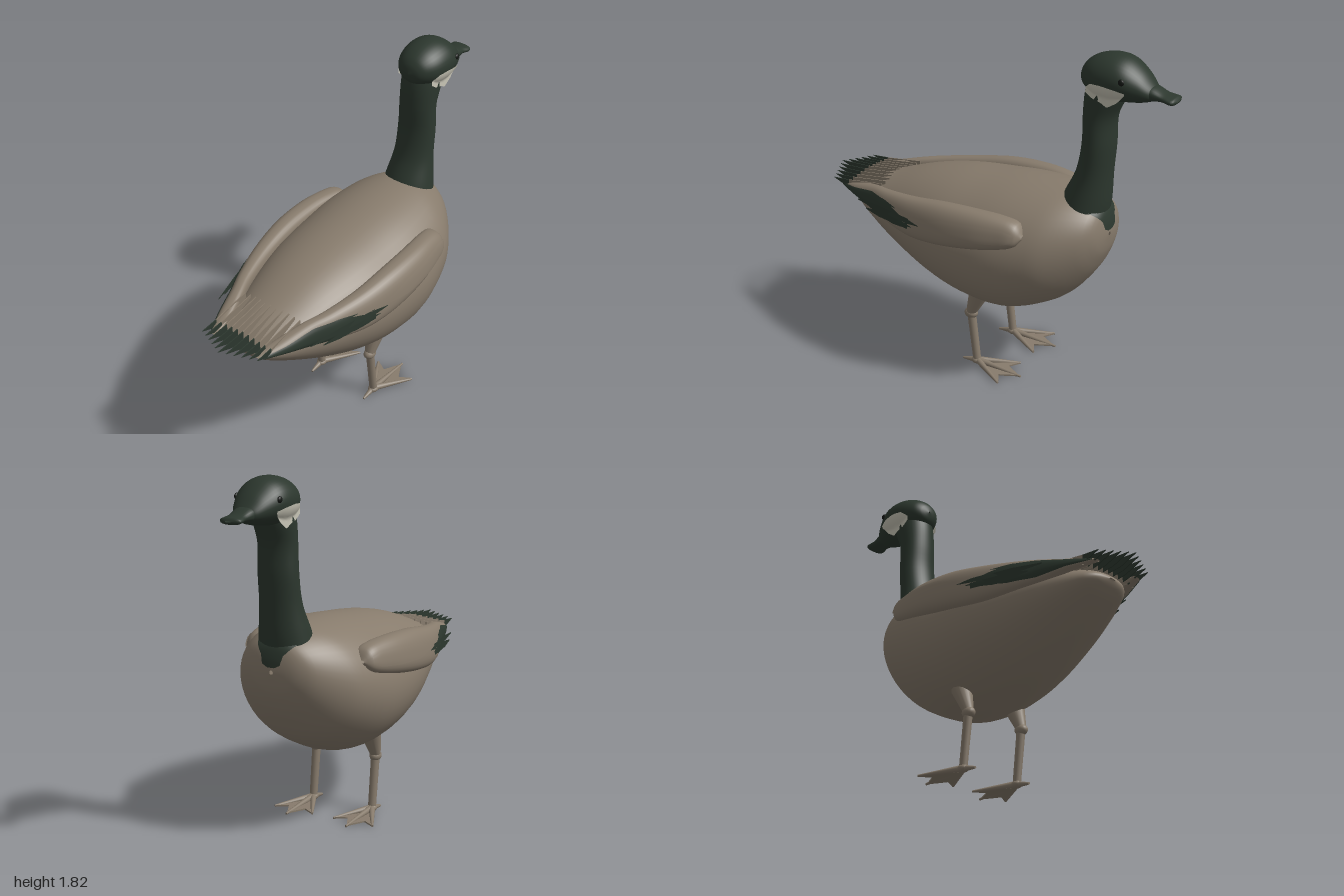
import * as THREE from 'three';

const mat = (name, color) => {
  const m = new THREE.MeshStandardMaterial({ color, side: THREE.DoubleSide });
  m.name = name;
  return m;
};

// Section tables along x: [x, top, bottom, inner z, outer z]
const sym = rows => rows.map(([x, t, b, w]) => [x, t, b, -w, w]);
const BODY = sym([
  [-0.845, 0.80, 0.79, 0.02], [-0.83, 0.82, 0.765, 0.09], [-0.78, 0.85, 0.715, 0.15],
  [-0.6, 0.92, 0.60, 0.24], [-0.4, 0.99, 0.49, 0.31], [-0.2, 1.035, 0.41, 0.365],
  [0, 1.06, 0.365, 0.39], [0.2, 1.08, 0.37, 0.393], [0.4, 1.085, 0.455, 0.35],
  [0.5, 1.078, 0.53, 0.295], [0.6, 1.045, 0.66, 0.21], [0.64, 1.01, 0.74, 0.15],
  [0.66, 0.95, 0.80, 0.09], [0.668, 0.89, 0.87, 0.01]]);
const HEAD = sym([
  [0.5, 1.705, 1.695, 0.005], [0.51, 1.742, 1.66, 0.05], [0.54, 1.78, 1.63, 0.09],
  [0.6, 1.812, 1.60, 0.122], [0.68, 1.825, 1.59, 0.133], [0.75, 1.81, 1.60, 0.125],
  [0.82, 1.76, 1.61, 0.095], [0.87, 1.705, 1.625, 0.062], [0.89, 1.68, 1.64, 0.03]]);
const BEAK = sym([
  [0.84, 1.705, 1.62, 0.06], [0.88, 1.698, 1.63, 0.057], [0.93, 1.677, 1.636, 0.05],
  [0.97, 1.668, 1.632, 0.057], [0.99, 1.664, 1.634, 0.05], [1.0, 1.65, 1.645, 0.015]]);
// Neck runs upward: its table is turned a quarter, so the columns hold y, -back, -front
const NECK = sym([
  [0.99, -0.40, -0.65, 0.145], [1.06, -0.42, -0.658, 0.133], [1.2, -0.485, -0.664, 0.11],
  [1.35, -0.514, -0.675, 0.106], [1.5, -0.515, -0.68, 0.102], [1.61, -0.52, -0.725, 0.106],
  [1.7, -0.535, -0.745, 0.10]]);
const WING = [
  [-0.875, 0.845, 0.83, 0.12, 0.16], [-0.75, 0.875, 0.815, 0.145, 0.22], [-0.6, 0.91, 0.79, 0.19, 0.275],
  [-0.5, 0.925, 0.775, 0.225, 0.32], [-0.3, 0.955, 0.755, 0.265, 0.385], [-0.1, 0.985, 0.77, 0.28, 0.417],
  [0.1, 0.995, 0.80, 0.28, 0.417], [0.25, 0.988, 0.83, 0.27, 0.393], [0.33, 0.965, 0.86, 0.27, 0.37],
  [0.36, 0.915, 0.90, 0.30, 0.335]];

// Smooth interpolation of a table row at x
function at(table, x) {
  let i = 0;
  while (i < table.length - 2 && x > table[i + 1][0]) i++;
  const p = table[i], q = table[i + 1], o = table[i - 1] || p, r = table[i + 2] || q;
  const d = q[0] - p[0], t = Math.min(1, Math.max(0, (x - p[0]) / d));
  return p.map((v, k) => {
    const m0 = (q[k] - o[k]) / (q[0] - o[0]) * d, m1 = (r[k] - v) / (r[0] - p[0]) * d;
    const t2 = t * t, t3 = t2 * t;
    return v * (2 * t3 - 3 * t2 + 1) + m0 * (t3 - 2 * t2 + t) + q[k] * (3 * t2 - 2 * t3) + m1 * (t3 - t2);
  });
}

// Indexed grid of points; wrap closes it into a tube
function grid(nu, nv, wrap, fn) {
  const pos = [], idx = [], cols = wrap ? nv : nv + 1;
  for (let i = 0; i <= nu; i++) for (let j = 0; j < cols; j++) pos.push(...fn(i / nu, j / nv));
  for (let i = 0; i < nu; i++) for (let j = 0; j < nv; j++) {
    const a = i * cols + j, c = i * cols + (j + 1) % cols;
    idx.push(a, a + cols, c, c, a + cols, c + cols);
  }
  const g = new THREE.BufferGeometry();
  g.setAttribute('position', new THREE.Float32BufferAttribute(pos, 3));
  g.setIndex(idx);
  g.computeVertexNormals();
  return g;
}

// Tube with rounded sections; e < 1 squares it, shear pushes the lower side outward
function loft(table, nu = 40, nv = 36, e = 1, shear = 0) {
  const x0 = table[0][0], x1 = table.at(-1)[0];
  const pw = v => Math.sign(v) * Math.abs(v) ** e;
  return grid(nu, nv, true, (u, v) => {
    const x = x0 + (x1 - x0) * (1 - Math.cos(u * Math.PI)) / 2;
    const [, t, b, zi, zo] = at(table, x), s = pw(Math.sin(v * 2 * Math.PI));
    return [x, (t + b) / 2 + (t - b) / 2 * s,
      (zi + zo) / 2 + (zo - zi) / 2 * pw(Math.cos(v * 2 * Math.PI)) - shear * s * (zo - zi)];
  });
}

// Outer z of a lofted surface at (x, y)
function outerZ(table, x, y, e = 1, shear = 0) {
  const [, t, b, zi, zo] = at(table, x);
  const n = Math.max(-1, Math.min(1, (y - (t + b) / 2) / ((t - b) / 2)));
  return (zi + zo) / 2 + (zo - zi) / 2 * (1 - Math.abs(n) ** (2 / e)) ** (e / 2)
    - shear * n * (zo - zi);
}

// Thin patch over a surface from columns [x, low y, high y]
function patch(cols, zFn) {
  const x0 = cols[0][0], x1 = cols.at(-1)[0];
  return grid(32, 10, false, (u, v) => {
    const x = x0 + (x1 - x0) * u;
    let i = 0;
    while (i < cols.length - 2 && x > cols[i + 1][0]) i++;
    const p = cols[i], q = cols[i + 1], t = (x - p[0]) / (q[0] - p[0]);
    const lo = p[1] + (q[1] - p[1]) * t, hi = p[2] + (q[2] - p[2]) * t;
    const y = lo + (hi - lo) * v;
    return [x, y, zFn(x, y)];
  });
}

// Tapered rod between two points
function rod(a, b, ra, rb) {
  const A = new THREE.Vector3(...a), B = new THREE.Vector3(...b), d = B.clone().sub(A);
  const g = new THREE.CylinderGeometry(rb, ra, d.length(), 14);
  g.applyQuaternion(new THREE.Quaternion().setFromUnitVectors(new THREE.Vector3(0, 1, 0), d.normalize()));
  const c = A.add(B).multiplyScalar(0.5);
  return g.translate(c.x, c.y, c.z);
}

function plate(points, depth) {
  const s = new THREE.Shape(points.map(p => new THREE.Vector2(...p)));
  return new THREE.ExtrudeGeometry(s, { depth, bevelEnabled: false }).translate(0, 0, -depth / 2);
}

export function createModel() {
  const taupe = mat('taupe plumage', 0x877b6c);
  const dark = mat('dark green plumage', 0x2c372e);
  const pale = mat('pale cheek', 0xc8c5b6);
  const black = mat('black eye', 0x141714);
  const model = new THREE.Group();
  model.name = 'goose';
  const add = (parent, name, geo, m) => {
    const mesh = new THREE.Mesh(geo, m);
    mesh.name = name;
    parent.add(mesh);
    return mesh;
  };

  add(model, 'body', loft(BODY, 56, 48), taupe);
  add(model, 'neck', loft(NECK, 36, 36).rotateZ(Math.PI / 2), dark);
  add(model, 'head', loft(HEAD), dark);
  add(model, 'beak', loft(BEAK, 24, 24, 0.85), dark);

  // Dark tongue running from the neck onto the breast
  const breastX = (y, z) => {
    let a = 0.3, b = 0.668;
    for (let i = 0; i < 24; i++) {
      const x = (a + b) / 2, [, t, bt, , w] = at(BODY, x);
      if (((y - (t + bt) / 2) / ((t - bt) / 2)) ** 2 + (z / w) ** 2 < 1) a = x; else b = x;
    }
    return a;
  };
  const tongue = [[0.905, 0.02], [0.92, 0.05], [0.965, 0.062], [0.99, 0.085], [1.02, 0.115], [1.055, 0.12]];
  add(model, 'breastPatch', grid(20, 14, false, (u, v) => {
    const k = Math.min(4, Math.floor(u * 5)), f = u * 5 - k;
    const y = THREE.MathUtils.lerp(tongue[k][0], tongue[k + 1][0], f);
    const z = THREE.MathUtils.lerp(tongue[k][1], tongue[k + 1][1], f) * (1 - 2 * v);
    return [breastX(y, z) + 0.007, y, z];
  }), dark);

  // Tail: upright feather blades with dark tips
  const tail = new THREE.Group();
  tail.name = 'tail';
  model.add(tail);
  for (let i = -5; i <= 5; i++) {
    const z = i * 0.035, n = Math.abs(i), tip = -1 + n * 0.016, y = -n * 0.003;
    add(tail, 'tailFeatherBase', plate([[-0.6, 0.918 + y], [-0.82, 0.888 + y], [-0.82, 0.835 + y],
      [-0.6, 0.86 + y]], 0.005).translate(0, 0, z), taupe);
    add(tail, 'tailFeatherTip', plate([[-0.82, 0.888 + y], [tip, 0.88 + y], [tip + 0.1, 0.842 + y],
      [-0.82, 0.835 + y]], 0.005).translate(0, 0, z), dark);
  }

  // Paired parts, built on +z and mirrored
  const wingZ = off => (x, y) => outerZ(WING, x, y, 0.8, 0.12) + off;
  for (const side of [1, -1]) {
    const half = new THREE.Group();
    half.name = side > 0 ? 'rightSide' : 'leftSide';
    half.scale.z = side;
    model.add(half);

    add(half, 'cheek', patch([[0.565, 1.64, 1.665], [0.6, 1.615, 1.695], [0.65, 1.6, 1.698], [0.68, 1.583, 1.696],
      [0.73, 1.615, 1.688], [0.775, 1.665, 1.675]],
    (x, y) => Math.max(outerZ(HEAD, x, y), 0.1) + 0.005), pale);
    add(half, 'eye', new THREE.SphereGeometry(0.016, 16, 12).scale(1, 1, 0.6)
      .translate(0.758, 1.728, outerZ(HEAD, 0.758, 1.728)), black);

    // Folded wing with raised coverts and dark flight feathers
    add(half, 'wing', loft(WING, 48, 32, 0.8, 0.12), taupe);
    add(half, 'coverts', patch([[-0.22, 0.87, 0.88], [-0.05, 0.85, 0.93], [0.15, 0.86, 0.95], [0.28, 0.875, 0.95],
      [0.335, 0.895, 0.93]], wingZ(0.007)), taupe);
    add(half, 'flightFeathers', patch([[-0.87, 0.833, 0.842], [-0.75, 0.823, 0.862], [-0.6, 0.80, 0.895],
      [-0.47, 0.797, 0.9], [-0.38, 0.81, 0.88], [-0.34, 0.82, 0.87]], wingZ(0.005)), dark);
    for (const [x, y, h] of [[-0.2, 0.858, 0.012], [-0.25, 0.836, 0.012], [-0.32, 0.815, 0.012], [-0.38, 0.892, 0.008]]) {
      add(half, 'flightFeatherPoint', patch([[-0.5, y - h, y + h], [x - 0.08, y - h, y + h], [x, y - 0.001, y + 0.001]],
        wingZ(0.006)), dark);
    }
    // Loose primaries standing just off the wing
    for (const [x0, y, off] of [[-0.67, 0.845, 0], [-0.6, 0.82, 0.008]]) {
      add(half, 'primaryFeather', patch([[x0, y - 0.003, y + 0.003], [-0.5, y - 0.014, y + 0.02],
        [-0.28, y - 0.005, y + 0.025]], x => 0.388 + off + (x + 0.28) * 0.24), dark);
    }

    // Leg
    const leg = new THREE.Group();
    leg.name = 'leg';
    leg.position.z = 0.18;
    half.add(leg);
    add(leg, 'thigh', rod([0.015, 0.44, 0], [-0.035, 0.31, 0], 0.055, 0.028), taupe);
    add(leg, 'ankle', new THREE.SphereGeometry(0.034, 18, 14).scale(1.1, 0.85, 0.9).translate(-0.037, 0.3, 0), taupe);
    add(leg, 'shank', rod([-0.035, 0.3, 0], [-0.002, 0.03, 0], 0.023, 0.021), taupe);

    // Webbed foot
    add(leg, 'heel', new THREE.SphereGeometry(0.03, 16, 12).scale(1.1, 0.65, 0.9).translate(0, 0.022, 0), taupe);
    const toes = [[0.27, 0], [0.2, 0.115], [0.2, -0.115], [-0.088, 0]];
    for (const [x, z] of toes) {
      add(leg, 'toe', rod([0, 0.023, 0], [x, 0.007, z], 0.018, 0.006), taupe);
    }
    add(leg, 'web', plate([[-0.01, 0], [0.2, 0.11], [0.165, 0.05], [0.26, 0], [0.165, -0.05], [0.2, -0.11]], 0.008)
      .rotateX(-Math.PI / 2).translate(0, 0.008, 0), taupe);
  }
  return model;
}
